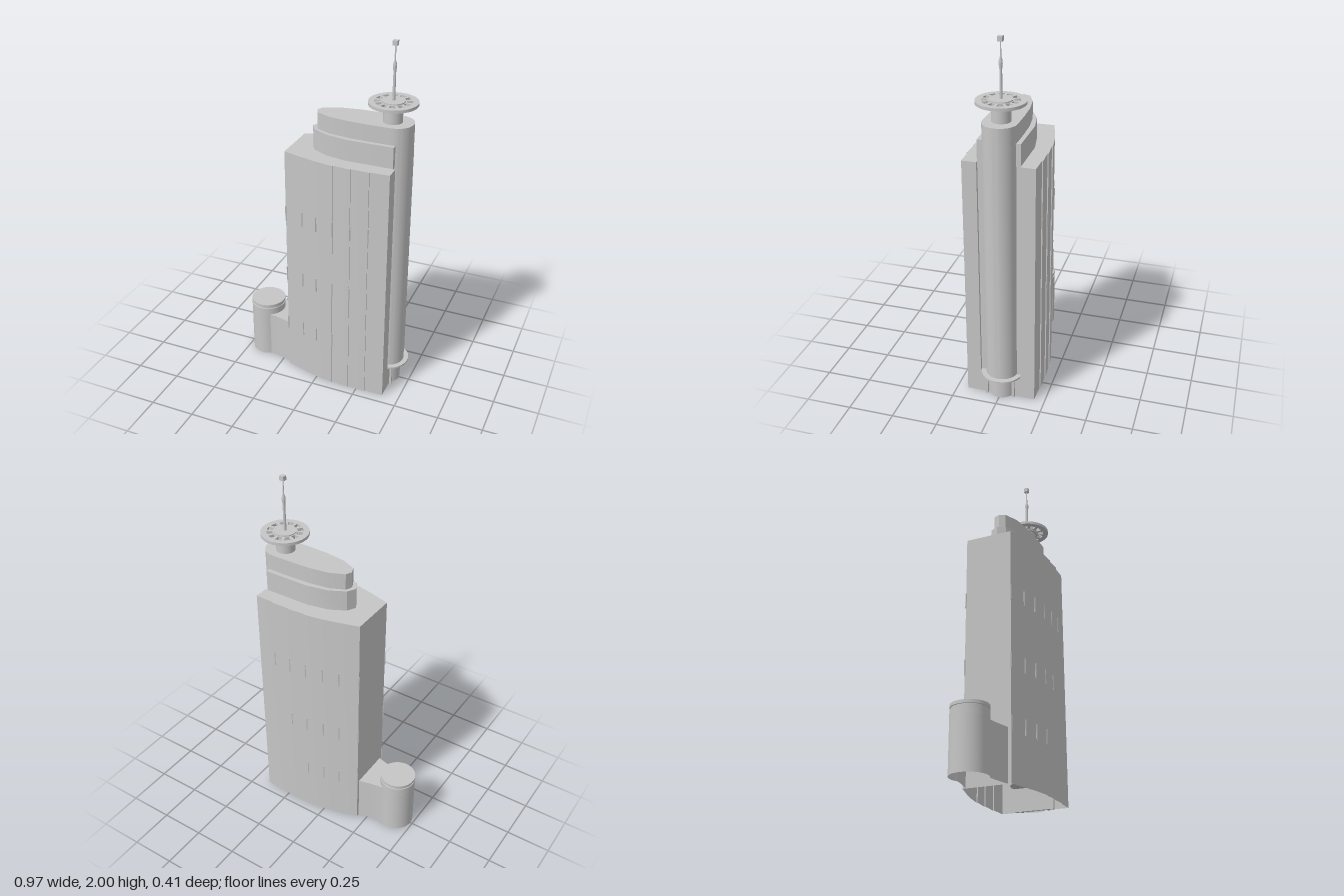
import * as THREE from 'three';
import { toCreasedNormals } from 'three/addons/utils/BufferGeometryUtils.js';

export function createModel() {
  const group = new THREE.Group();
  const concrete = new THREE.MeshStandardMaterial({ color: 0xc6c6c6, side: THREE.DoubleSide });

  const add = (name, geometry, x = 0, y = 0, z = 0) => {
    const mesh = new THREE.Mesh(geometry, concrete);
    mesh.name = name;
    mesh.position.set(x, y, z);
    group.add(mesh);
    return mesh;
  };
  // Upright prism from a plan shape
  const prism = (shape, height) => toCreasedNormals(
    new THREE.ExtrudeGeometry(shape, { depth: height, bevelEnabled: false, curveSegments: 32 })
      .rotateX(-Math.PI / 2), 0.35);
  // The same without its floor: the bottom cap is the first half of the cap group
  const shell = (shape, height) => {
    const solid = prism(shape, height);
    const skip = solid.groups.length ? solid.groups[0].count / 2 : 0;
    const open = new THREE.BufferGeometry();
    for (const key of ['position', 'normal']) {
      open.setAttribute(key, new THREE.BufferAttribute(solid.attributes[key].array.slice(skip * 3), 3));
    }
    return open;
  };
  // Symmetric plan from half-widths [x, z], listed from left end to right end
  const mirrored = (half) => {
    const lower = half.map(([x, z]) => new THREE.Vector2(x, -z));
    const upper = half.filter(([, z]) => z > 0).reverse().map(([x, z]) => new THREE.Vector2(x, z));
    return new THREE.Shape([...lower, ...upper]);
  };
  // Quarter-plan points on a circle, from angle a to angle b
  const arc = (cx, r, a, b, steps) => Array.from({ length: steps + 1 }, (_, i) => {
    const t = a + (b - a) * i / steps;
    return [cx + r * Math.cos(t), Math.abs(r * Math.sin(t)) < 1e-6 ? 0 : r * Math.sin(t)];
  });
  const drum = (r, h) => new THREE.CylinderGeometry(r, r, h, 48);

  // Main slab, with stepped side panels and a shallow groove in the end
  const edges = [[-0.198, 0.13], [-0.09, 0.16], [0, 0.182], [0.1, 0.198], [0.1, 0.192],
    [0.2, 0.201], [0.2, 0.195], [0.3, 0.199], [0.3, 0.193], [0.406, 0.191]];
  add('mainTower', shell(mirrored([...edges, [0.406, 0.113], [0.39, 0.113]]), 1.376));
  add('entranceWall', new THREE.BoxGeometry(0.016, 0.133, 0.226), 0.398, 0.0665);

  // Set-back upper tier
  add('upperTier', prism(mirrored([[-0.09, 0], [-0.065, 0.045], [0.02, 0.09], [0.14, 0.113],
    [0.394, 0.113]]), 0.12), 0, 1.372);

  // Central core with a rounded end
  const cx = 0.369;
  add('core', prism(mirrored([[-0.065, 0], [-0.05, 0.035], [0.03, 0.07], [0.14, 0.086],
    [0.25, 0.09], ...arc(cx, 0.09, Math.PI / 2, 0, 16)]), 1.45), 0, 0.133);

  // Entrance canopy, half-round foot and columns
  add('canopy', drum(0.117, 0.01), cx, 0.131);
  add('coreFoot', new THREE.CylinderGeometry(0.072, 0.072, 0.13, 24, 1, true, 0.4, Math.PI - 0.8),
    cx, 0.065);
  for (const side of [-1, 1]) {
    add('entranceColumn', new THREE.BoxGeometry(0.012, 0.13, 0.012), 0.415, 0.065, side * 0.075);
  }

  // Low wing flowing out of a round end, and the drum above it
  const dx = -0.389;
  add('lowWing', shell(mirrored([...arc(dx, 0.098, Math.PI, Math.PI / 3, 20), [-0.325, 0.086],
    [-0.3, 0.089], [-0.27, 0.095], [-0.235, 0.103], [-0.197, 0.113]]), 0.28));
  const profile = [[0.098, 0.278], [0.098, 0.32], [0.094, 0.321], [0.094, 0.327],
    [0.098, 0.328], [0.098, 0.345], [0, 0.345]].map(([r, y]) => new THREE.Vector2(r, y));
  add('roundDrum', toCreasedNormals(new THREE.LatheGeometry(profile, 48), 0.4), dx);

  // Small angled fins on the panel joints
  const joints = [[-0.197, 0.13], [-0.09, 0.16], [0, 0.182], [0.1, 0.196], [0.2, 0.199],
    [0.3, 0.197]];
  for (const [y, count] of [[0.3, 4], [0.63, 5], [1.01, 6]]) {
    for (const [x, z] of joints.slice(0, count)) {
      for (const side of [-1, 1]) {
        add('fin', new THREE.BoxGeometry(0.007, 0.085, 0.007), x, y, side * z)
          .rotation.y = Math.PI / 4;
      }
    }
  }

  // Roof neck and observation disc with a ring of slots
  const mx = 0.347;
  add('neck', drum(0.05, 0.1), mx, 1.625);
  add('neckCollar', drum(0.062, 0.01), mx, 1.672);
  const disc = new THREE.Shape().absarc(0, 0, 0.127, 0, Math.PI * 2);
  for (let i = 0; i < 12; i++) {
    const a = (i + 0.5) * Math.PI / 6;
    const corner = (r, w) => new THREE.Vector2(
      r * Math.cos(a) - w * Math.sin(a), r * Math.sin(a) + w * Math.cos(a));
    disc.holes.push(new THREE.Path([corner(0.065, -0.011), corner(0.065, 0.011),
      corner(0.096, 0.017), corner(0.096, -0.017)]));
  }
  add('observationDisc', prism(disc, 0.016), mx, 1.674);
  add('discHub', drum(0.06, 0.008), mx, 1.692);

  // Mast with a bulge and a small block at the tip
  const mast = [[0.008, 1.69], [0.007, 1.84], [0.01, 1.865], [0.01, 1.88], [0.004, 1.9],
    [0.003, 1.98]].map(([r, y]) => new THREE.Vector2(r, y));
  add('mast', new THREE.LatheGeometry(mast, 12), mx);
  add('mastTip', new THREE.BoxGeometry(0.025, 0.025, 0.025), mx, 1.9875);

  return group;
}
